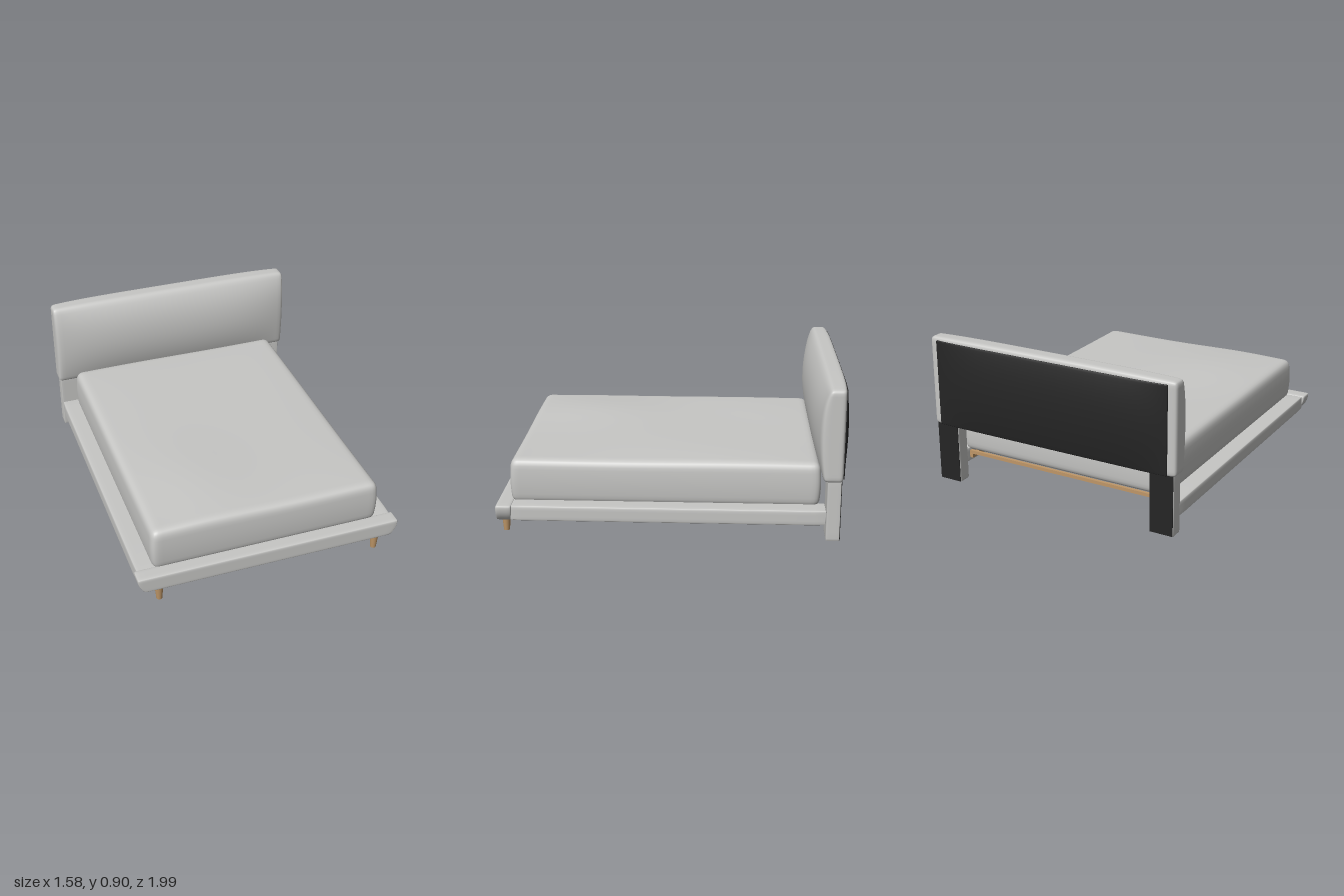
import * as THREE from 'three';
import { mergeVertices } from 'three/addons/utils/BufferGeometryUtils.js';

const mat = (name, color) => {
  const m = new THREE.MeshStandardMaterial({ color });
  m.name = name;
  return m;
};

// Rounded box between two corners, with rows gathered near the edges;
// warp(p, u, v, w) moves each point, u v w running from -1 to 1.
function softBox(min, max, r, n, warp) {
  const a = new THREE.Vector3(...min), b = new THREE.Vector3(...max);
  const mid = a.clone().add(b).multiplyScalar(0.5);
  const half = b.clone().sub(a).multiplyScalar(0.5);
  let g = new THREE.BoxGeometry(2, 2, 2, ...n);
  g.deleteAttribute('uv');
  g.deleteAttribute('normal');
  g = mergeVertices(g);
  const pos = g.attributes.position;
  const p = new THREE.Vector3(), core = new THREE.Vector3();
  const inner = half.clone().subScalar(r);
  const outer = inner.clone().negate();
  const ease = (t) => Math.sin((t * Math.PI) / 2);
  for (let i = 0; i < pos.count; i++) {
    p.fromBufferAttribute(pos, i);
    p.set(ease(p.x), ease(p.y), ease(p.z)).multiply(half);
    core.copy(p).clamp(outer, inner);
    p.sub(core);
    if (p.length() > 0) p.setLength(r);
    p.add(core);
    const u = p.x / half.x, v = p.y / half.y, w = p.z / half.z;
    p.add(mid);
    if (warp) warp(p, u, v, w);
    pos.setXYZ(i, p.x, p.y, p.z);
  }
  g.computeVertexNormals();
  return g;
}

export function createModel() {
  const bed = new THREE.Group();
  bed.name = 'bed';
  const fabric = mat('greyFabric', 0xc7c7c5);
  const backing = mat('blackBacking', 0x252525);
  const wood = mat('lightWood', 0xbf9768);

  const add = (name, geometry, material, x = 0, y = 0, z = 0) => {
    const m = new THREE.Mesh(geometry, material);
    m.name = name;
    m.position.set(x, y, z);
    bed.add(m);
  };

  // Mattress sunk between the rails, with swollen sides and an uneven top
  add('mattress', softBox([-0.675, 0.168, -0.835], [0.675, 0.432, 0.915], 0.04, [36, 16, 44],
    (p, u, v, w) => {
      const swell = 0.01 * (1 - v * v);
      p.x += swell * u;
      p.z += swell * w;
      if (v > 0) {
        const bump = 0.016 * Math.exp(-(((p.x + 0.32) / 0.3) ** 2) - ((p.z - 0.5) / 0.4) ** 2);
        const crown = 0.009 * (1 - u ** 4) * (1 - w ** 4);
        p.y += v * (bump + crown + 0.002 * Math.sin(5 * p.x + 4 * p.z));
      }
    }), fabric);

  // Padded headboard, bulging forward and thinner at its ends
  add('headboard', softBox([-0.788, 0.36, -0.968], [0.788, 0.892, -0.848], 0.024, [36, 24, 12],
    (p, u, v, w) => {
      if (w > 0) {
        p.z += 0.058 * (1 - v * v) * (1 - 0.65 * u ** 4) * w;
        p.z -= 0.022 * Math.max(v, 0) ** 4 * w;
      } else {
        p.z -= 0.014 * u ** 6 * w;
      }
      if (v > 0) p.y += 0.009 * (1 - u ** 4) * v;
    }), fabric);

  // Dark backing panel, bowed outwards
  add('headboardBacking', softBox([-0.74, 0.366, -0.972], [0.74, 0.876, -0.945], 0.006, [28, 20, 4],
    (p, u, v, w) => {
      if (w < 0) p.z += (0.028 * (1 - v * v) * (1 - u ** 6) - 0.007 * u ** 6) * w;
    }), backing);

  // Foot rail with ends curving in underneath
  add('footRail', softBox([-0.788, 0.092, 0.903], [0.788, 0.192, 0.994], 0.012, [24, 12, 8],
    (p, u, v) => {
      p.x *= 1 - 0.055 * ((1 - v) / 2) ** 2.5;
    }), fabric);

  const rail = softBox([-0.0675, 0.1, -0.87], [0.0675, 0.19, 0.912], 0.012, [8, 8, 8]);
  const post = softBox([-0.0725, 0.01, -0.948], [0.0725, 0.38, -0.87], 0.006, [8, 8, 8]);
  for (const [side, s] of [['left', 1], ['right', -1]]) {
    add(side + 'SideRail', rail, fabric, s * 0.7075);

    // Wooden ledge carrying the slats
    add(side + 'SlatLedge', new THREE.BoxGeometry(0.024, 0.026, 1.74), wood, s * 0.632, 0.138, 0.035);

    // Headboard post with a thin dark panel on its back
    add(side + 'HeadboardPost', post, fabric, s * 0.7025);
    add(side + 'PostBacking', new THREE.BoxGeometry(0.139, 0.36, 0.006), backing, s * 0.7025, 0.193, -0.947);

    // Tapered front leg
    add(side + 'FrontLeg', new THREE.CylinderGeometry(0.026, 0.017, 0.1, 24), wood, s * 0.66, 0.05, 0.955);
  }

  // Slats under the mattress
  const slat = new THREE.BoxGeometry(1.3, 0.02, 0.018);
  const count = 9;
  for (let i = 0; i < count; i++) {
    add('slat' + (i + 1), slat, wood, 0, 0.16, -0.825 + (1.7 * i) / (count - 1));
  }

  return bed;
}
